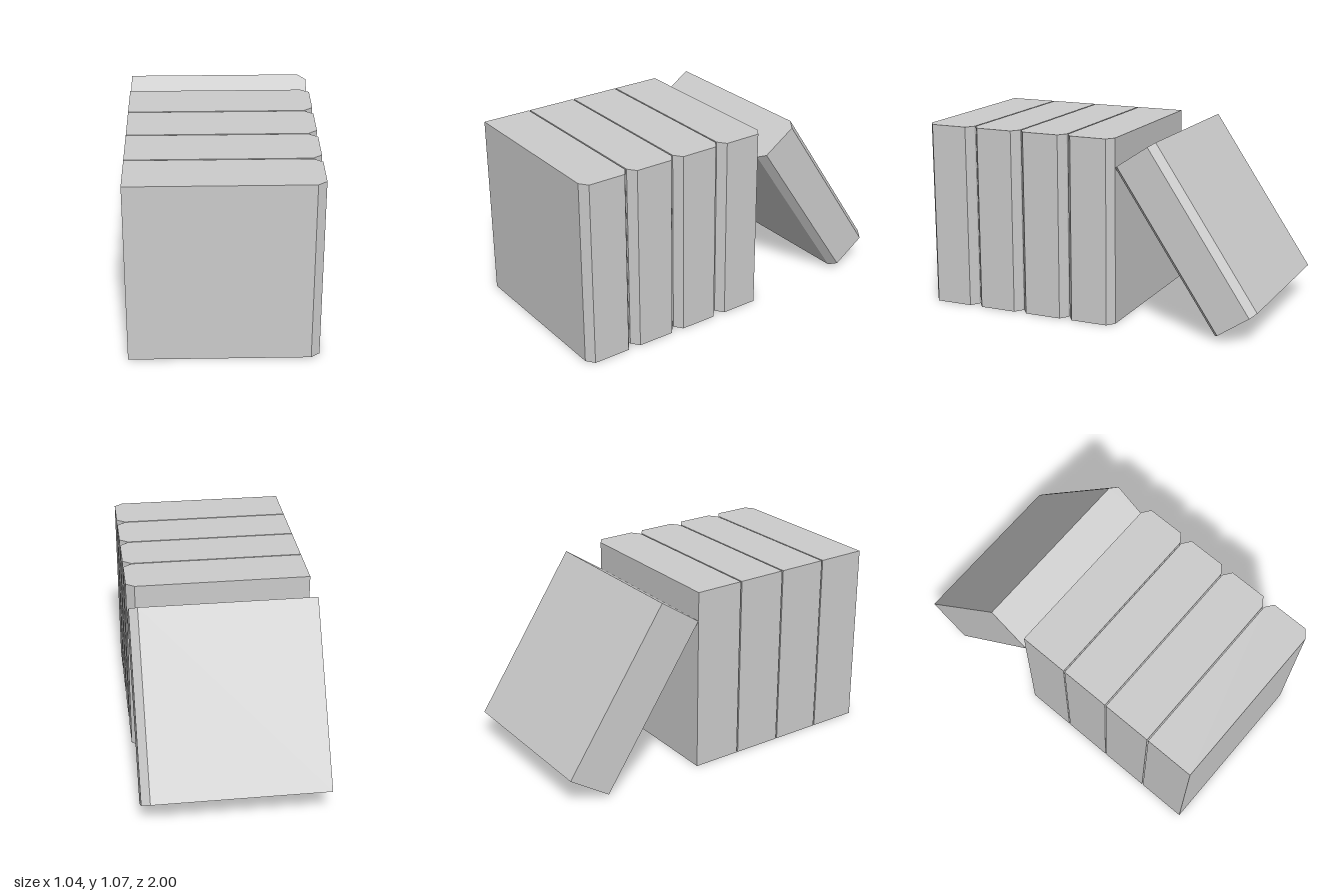
import * as THREE from 'three';

const HEIGHT = 1.065, HALF_WIDTH = 0.521, THICK = 0.286;
const BEVEL_X = 0.048, BEVEL_Z = 0.035;

// Closed book: a block whose spine (+x) has two bevelled edges, centred on its origin
function bookGeometry() {
  const w = HALF_WIDTH, t = THICK / 2;
  const outline = new THREE.Shape([
    [-w, -t], [w - BEVEL_X, -t], [w, -t + BEVEL_Z],
    [w, t - BEVEL_Z], [w - BEVEL_X, t], [-w, t],
  ].map(([x, y]) => new THREE.Vector2(x, y)));
  const geo = new THREE.ExtrudeGeometry(outline, { depth: HEIGHT, bevelEnabled: false });
  geo.translate(0, 0, -HEIGHT / 2);
  geo.rotateX(-Math.PI / 2);
  return geo;
}

export function createModel() {
  const model = new THREE.Group();
  model.name = 'bookRow';
  const geo = bookGeometry();
  const material = new THREE.MeshStandardMaterial({ color: 0xcccccc, flatShading: true });

  const addBook = (name, y, z, tilt = 0) => {
    const book = new THREE.Mesh(geo, material);
    book.name = name;
    book.position.set(0, y, z);
    book.rotation.x = tilt;
    model.add(book);
  };

  // Four upright books with narrow gaps
  for (let i = 0; i < 4; i++) {
    addBook(`uprightBook${i + 1}`, HEIGHT / 2, 1 - THICK / 2 - i * 0.2937);
  }
  // Last book leaning against the row
  addBook('leaningBook', 0.537, -0.584, 0.592);

  return model;
}
